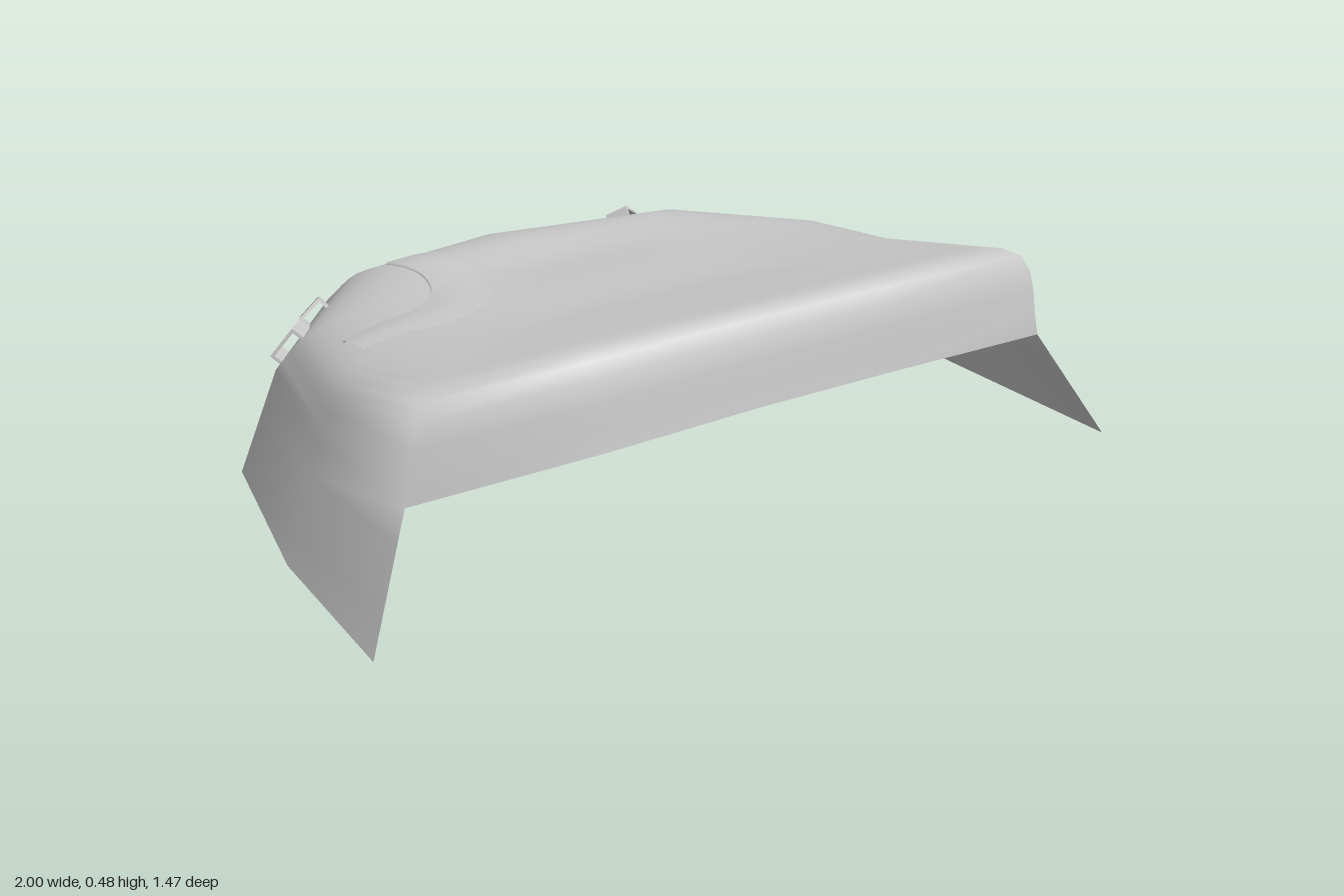
import * as THREE from 'three';

const material = () => new THREE.MeshStandardMaterial({ color: 0xcccccc, side: THREE.DoubleSide });

// Control rings, running right front -> back -> left front -> across the front
const skirt = [[-1, 0, .68], [-.97, 0, .23], [-.86, 0, -.25], [-.52, 0, -.65], [0, 0, -.74],
  [.69, 0, -.6], [1, 0, -.2], [.995, 0, .25], [.99, 0, .73]];
const waist = [[-.86, .25, .57], [-.87, .25, .2], [-.77, .25, -.22], [-.46, .25, -.57], [0, .25, -.66],
  [.61, .25, -.53], [.89, .25, -.17], [.87, .25, .22], [.86, .25, .61],
  [.4, .265, .615], [0, .27, .612], [-.4, .26, .6]];
const shoulder = [[-.81, .455, .545], [-.8, .37, .18], [-.7, .33, -.19], [-.41, .33, -.5], [0, .33, -.57],
  [.54, .33, -.46], [.79, .34, -.14], [.8, .37, .2], [.81, .455, .58],
  [.4, .462, .58], [0, .465, .575], [-.4, .46, .565]];
const crown = [[-.66, .45, .4], [-.66, .41, .14], [-.57, .375, -.15], [-.33, .375, -.38], [0, .375, -.42],
  [.43, .375, -.36], [.63, .38, -.1], [.66, .41, .16], [.66, .45, .42],
  [.35, .455, .42], [0, .455, .42], [-.35, .455, .41]];

const vec = p => new THREE.Vector3(...p);

// Joins a grid of points (columns of rows) into one smooth surface
function gridSurface(columns, closed, skip = () => false) {
  const rows = columns[0].length, n = columns.length, index = [];
  for (let i = 0; i < (closed ? n : n - 1); i++) {
    for (let j = 0; j < rows - 1; j++) {
      if (skip(i, j)) continue;
      const a = i * rows + j, b = ((i + 1) % n) * rows + j;
      index.push(a, a + 1, b, b, a + 1, b + 1);
    }
  }
  const geometry = new THREE.BufferGeometry().setFromPoints(columns.flat());
  geometry.setIndex(index);
  geometry.computeVertexNormals();
  return geometry;
}

// Open-bottomed shell: high open front edge, flared skirt at the sides and back
function makeShell() {
  const steps = 4, center = vec([0, .395, -.02]);
  const columns = waist.map((w, i) => {
    const c = vec(crown[i]);
    const inner = c.clone().lerp(center, .5);
    inner.y = .395 + inner.z * .1;
    const points = [vec(w), vec(shoulder[i]), c, inner, center];
    const upper = new THREE.CatmullRomCurve3(points).getPoints(steps * 4);
    const lower = [];
    for (let k = 0; k < steps; k++) {
      lower.push(skirt[i] ? vec(skirt[i]).lerp(vec(w), k / steps) : vec(w));
    }
    return [...lower, ...upper];
  });
  const mesh = new THREE.Mesh(
    gridSurface(columns, true, (i, j) => i >= skirt.length - 1 && j < steps), material());
  mesh.name = 'shell';
  return mesh;
}

export function createModel() {
  const group = new THREE.Group();
  const shell = makeShell();
  group.add(shell);

  // Finds the point and normal on the shell below (x, z)
  const ray = new THREE.Raycaster();
  const onShell = (x, z) => {
    ray.set(new THREE.Vector3(x, 2, z), new THREE.Vector3(0, -1, 0));
    const hit = ray.intersectObject(shell)[0];
    return { point: hit.point, normal: hit.face.normal };
  };

  // Shallow curved step pressed into the right rear corner of the top
  const inner = new THREE.CatmullRomCurve3(
    [[-.7, 0, 0], [-.52, 0, -.03], [-.4, 0, -.14], [-.35, 0, -.28], [-.36, 0, -.44]].map(vec));
  const outer = new THREE.CatmullRomCurve3(
    [[-.7, 0, .12], [-.47, 0, .12], [-.27, 0, -.02], [-.2, 0, -.25], [-.18, 0, -.48]].map(vec));
  const profile = [[0, -.003], [.02, .007], [.5, .006], [1, -.003]];
  const band = [];
  for (let i = 0; i <= 20; i++) {
    const a = inner.getPoint(i / 20), b = outer.getPoint(i / 20);
    band.push(profile.map(([s, lift]) => {
      const p = a.clone().lerp(b, s);
      p.y = onShell(p.x, p.z).point.y + lift;
      return p;
    }).reverse());
  }
  const step = new THREE.Mesh(gridSurface(band, false), material());
  step.name = 'curvedStep';
  group.add(step);

  // Small bent clips: a raised plate on two side tabs
  const clips = [[-.7, -.26, -.6, .1], [-.58, -.38, -.3, .08], [.42, -.52, .6, .08]];
  for (const [x, z, turn, size] of clips) {
    const { point, normal } = onShell(x, z);
    const clip = new THREE.Group();
    clip.name = 'clip';
    const addBox = (name, w, h, d, px, py) => {
      const part = new THREE.Mesh(new THREE.BoxGeometry(w, h, d), material());
      part.name = name;
      part.position.set(px, py, 0);
      clip.add(part);
    };
    addBox('clipPlate', size * .85, .008, size * .8, 0, .026);
    for (const side of [-1, 1]) addBox('clipTab', .008, .035, size * .8, side * size * .4, .01);
    clip.position.copy(point);
    clip.quaternion.setFromUnitVectors(new THREE.Vector3(0, 1, 0), normal);
    clip.rotateY(turn);
    group.add(clip);
  }
  return group;
}
